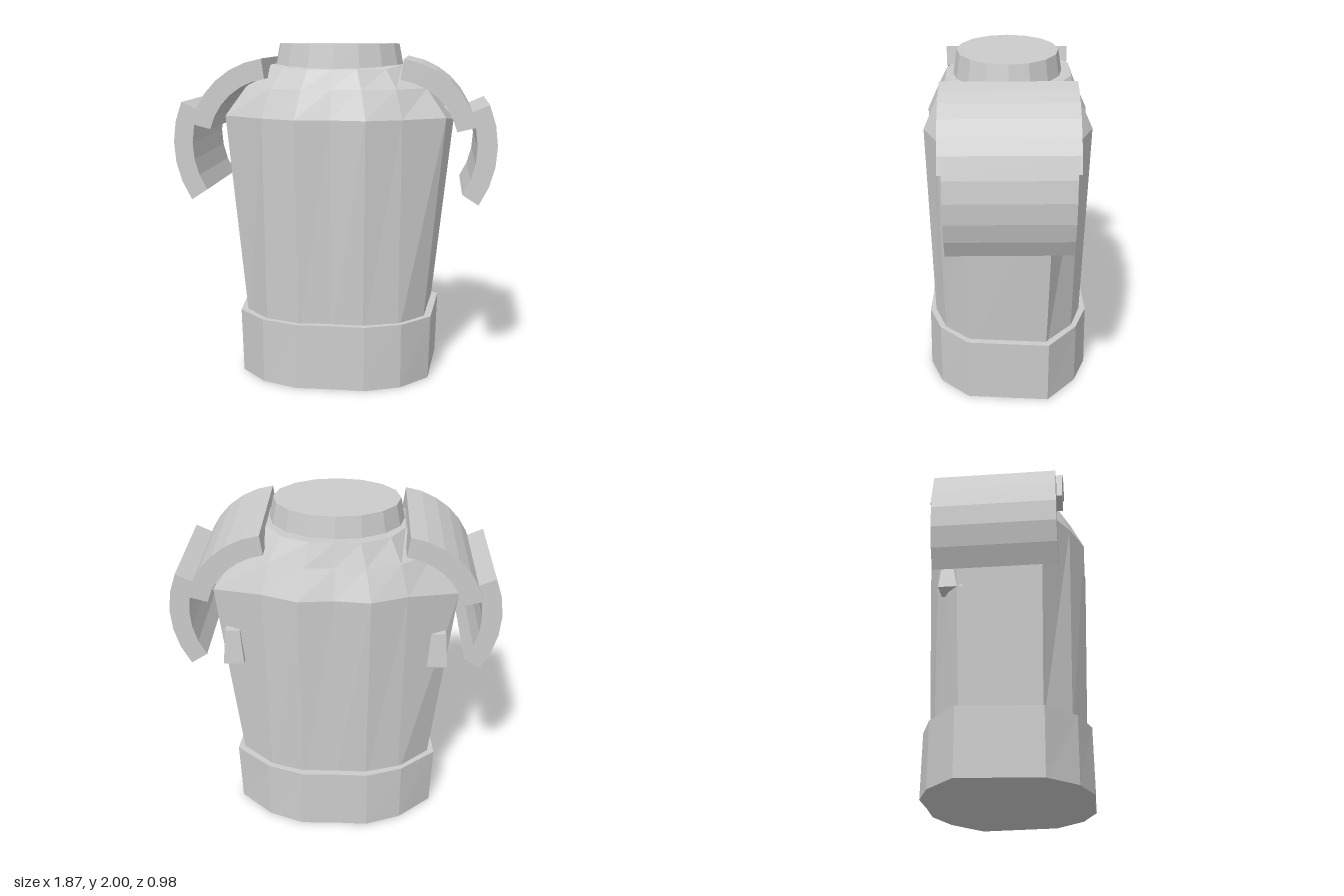
import * as THREE from 'three';

const material = new THREE.MeshStandardMaterial({ color: 0xcccccc, flatShading: true });

function addMesh(parent, name, geometry) {
  const mesh = new THREE.Mesh(geometry, material);
  mesh.name = name;
  parent.add(mesh);
  return mesh;
}

// Closed ring from a half outline running front centre -> left side -> back centre.
// Points are [x, z] or [x, z, own height].
function ring(y, half) {
  const mirrored = half.slice(1, -1).reverse().map(([x, z, h]) => [-x, z, h]);
  return [...half, ...mirrored].map(([x, z, h]) => [x, h ?? y, z]);
}

// Skin stacked rings and cap both ends.
function loft(rings) {
  const n = rings[0].length;
  const positions = rings.flat(2);
  const index = [];
  for (let r = 0; r < rings.length - 1; r++) {
    for (let i = 0; i < n; i++) {
      const j = (i + 1) % n;
      const a = r * n + i, b = r * n + j;
      index.push(a, b, b + n, a, b + n, a + n);
    }
  }
  const top = (rings.length - 1) * n;
  for (let i = 1; i < n - 1; i++) {
    index.push(0, i + 1, i, top, top + i, top + i + 1);
  }
  const geometry = new THREE.BufferGeometry();
  geometry.setAttribute('position', new THREE.Float32BufferAttribute(positions, 3));
  geometry.setIndex(index);
  const flat = geometry.toNonIndexed();
  flat.computeVertexNormals();
  return flat;
}

// Curved plate: a faceted arc band extruded along z.
function arcPlate(inner, outer, fromDeg, toDeg, segments, depth) {
  const points = [];
  const at = (radius, i) => {
    const a = THREE.MathUtils.degToRad(fromDeg + (toDeg - fromDeg) * i / segments);
    return new THREE.Vector2(Math.cos(a) * radius, Math.sin(a) * radius);
  };
  for (let i = 0; i <= segments; i++) points.push(at(outer, i));
  for (let i = segments; i >= 0; i--) points.push(at(inner, i));
  const geometry = new THREE.ExtrudeGeometry(new THREE.Shape(points), { depth, bevelEnabled: false });
  return geometry.translate(0, 0, -depth / 2);
}

// Small block that narrows towards its top.
function taperedBlock(width, height, depth, taper) {
  const geometry = new THREE.BoxGeometry(width, height, depth);
  const p = geometry.attributes.position;
  for (let i = 0; i < p.count; i++) {
    if (p.getY(i) > 0) p.setXYZ(i, p.getX(i) * taper, p.getY(i), p.getZ(i) * taper);
  }
  geometry.computeVertexNormals();
  return geometry;
}

export function createModel() {
  const model = new THREE.Group();
  model.name = 'armouredTorso';

  // Waist band
  addMesh(model, 'waistBand', loft([
    ring(0, [[0, 0.485], [0.2, 0.49], [0.41, 0.41], [0.57, 0.24],
      [0.61, -0.235], [0.41, -0.41], [0.2, -0.49], [0, -0.485]]),
    ring(0.39, [[0, 0.48], [0.2, 0.485], [0.41, 0.41], [0.58, 0.24],
      [0.62, -0.235], [0.41, -0.41], [0.2, -0.485], [0, -0.48]]),
  ]));

  // Torso: widens upwards, then closes over the shoulders
  addMesh(model, 'torso', loft([
    ring(0.3, [[0, 0.44], [0.19, 0.448], [0.39, 0.38], [0.53, 0.23],
      [0.57, -0.22], [0.39, -0.38], [0.19, -0.443], [0, -0.44]]),
    ring(1.585, [[0, 0.46], [0.2, 0.483], [0.4, 0.4], [0.645, 0.25],
      [0.695, -0.245, 1.53], [0.4, -0.405], [0.2, -0.485], [0, -0.465]]),
    ring(1.75, [[0, 0.4], [0.17, 0.41], [0.36, 0.34], [0.53, 0.2],
      [0.54, -0.2], [0.36, -0.34], [0.17, -0.41], [0, -0.4]]),
    ring(1.88, [[0, 0.355, 1.86], [0.14, 0.355, 1.86], [0.3, 0.28, 1.86], [0.385, 0.14],
      [0.385, -0.14], [0.3, -0.28], [0.14, -0.36], [0, -0.36]]),
  ]));

  // Oval collar
  const collar = addMesh(model, 'collar', new THREE.CylinderGeometry(0.36, 0.388, 0.14, 16));
  collar.scale.z = 0.81;
  collar.position.y = 1.93;

  // Shoulder plates and back lugs, mirrored by turning or repositioning
  for (const side of [1, -1]) {
    const shoulder = new THREE.Group();
    shoulder.name = side > 0 ? 'leftShoulder' : 'rightShoulder';
    shoulder.position.set(side * 0.332, 1.425, 0);
    if (side < 0) shoulder.rotation.y = Math.PI;
    addMesh(shoulder, 'upperPlate', arcPlate(0.385, 0.5, 14, 82, 6, 0.745));
    addMesh(shoulder, 'lowerPlate', arcPlate(0.49, 0.602, 24, -33, 5, 0.685));
    model.add(shoulder);

    const lug = addMesh(model, side > 0 ? 'leftBackLug' : 'rightBackLug',
      taperedBlock(0.12, 0.21, 0.14, 0.7));
    lug.position.set(side * 0.59, 1.2, -0.272);
  }
  return model;
}
